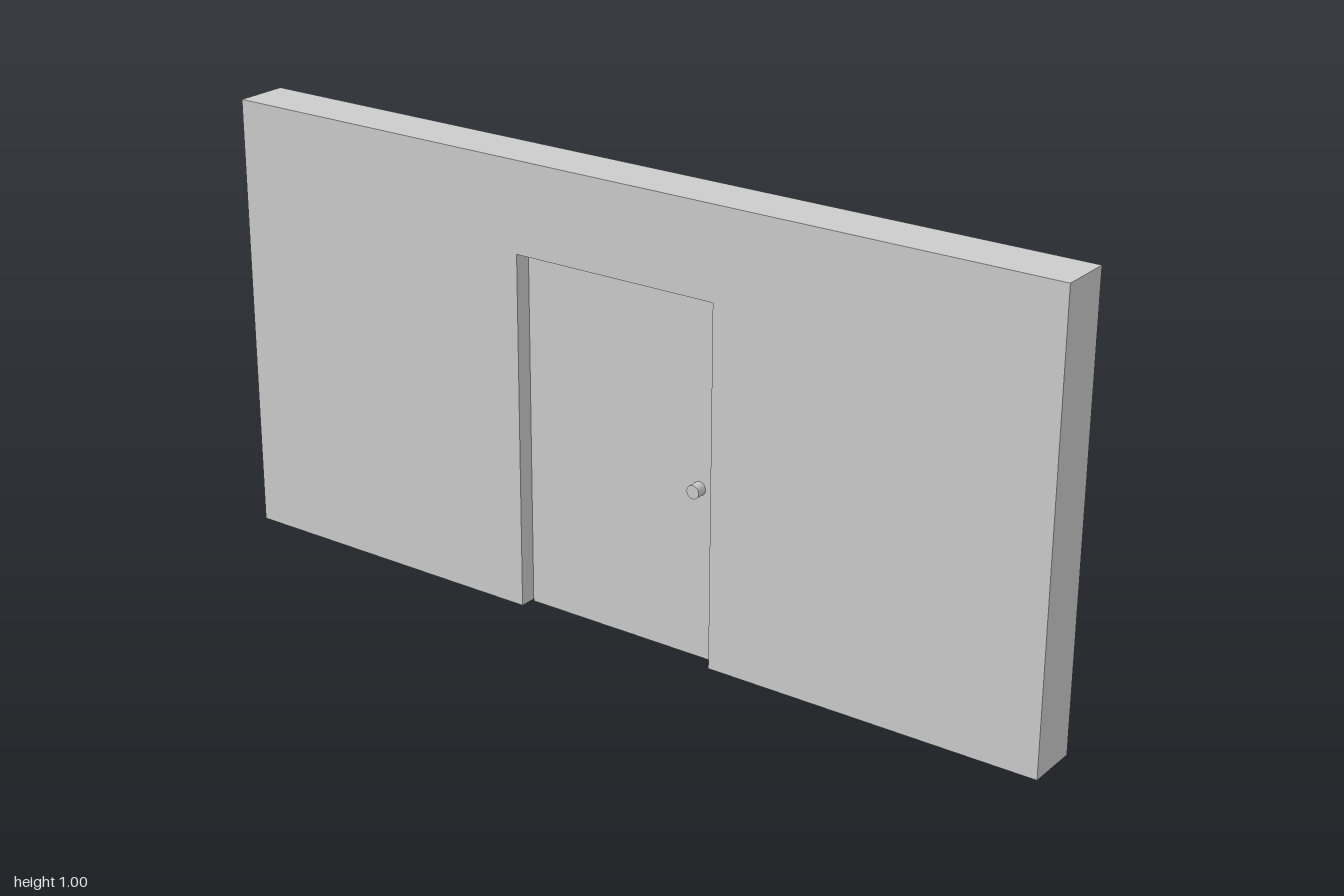
import * as THREE from 'three';

const HALF_DEPTH = 0.06, WALL_BASE = 0.004, DOOR_HALF = 0.243, DOOR_TOP = 0.8;

const grey = new THREE.MeshStandardMaterial({ color: 0xcccccc });
const greyThin = new THREE.MeshStandardMaterial({ color: 0xcccccc, side: THREE.DoubleSide });

function addMesh(parent, name, geometry, material = grey) {
  const mesh = new THREE.Mesh(geometry, material);
  mesh.name = name;
  parent.add(mesh);
  return mesh;
}

// Flat quad spanning the wall depth between two outline points, facing right of travel
function edgeStrip([x0, y0], [x1, y1]) {
  const d = HALF_DEPTH;
  const geometry = new THREE.BufferGeometry();
  geometry.setAttribute('position', new THREE.Float32BufferAttribute(
    [x0, y0, d, x0, y0, -d, x1, y1, -d, x1, y1, d], 3));
  geometry.setIndex([0, 1, 2, 0, 2, 3]);
  geometry.computeVertexNormals();
  return geometry;
}

export function createModel() {
  const model = new THREE.Group();
  model.name = 'wallWithDoor';

  // Hollow wall, open underneath, with a doorway notch (outline runs counter-clockwise)
  const outline = [
    [DOOR_HALF, WALL_BASE], [1, WALL_BASE], [1, 1], [-1, 1], [-1, WALL_BASE],
    [-DOOR_HALF, WALL_BASE], [-DOOR_HALF, DOOR_TOP], [DOOR_HALF, DOOR_TOP],
  ];
  const wall = new THREE.Group();
  wall.name = 'wall';
  model.add(wall);

  const face = new THREE.ShapeGeometry(
    new THREE.Shape(outline.map(([x, y]) => new THREE.Vector2(x, y))));
  addMesh(wall, 'wallFront', face, greyThin).position.z = HALF_DEPTH;
  const back = addMesh(wall, 'wallBack', face, greyThin);
  back.position.z = -HALF_DEPTH;
  back.rotation.y = Math.PI;

  // Ends, top, door jambs and lintel; the two bottom edges stay open
  const edgeNames = [null, 'wallEndLeft', 'wallTop', 'wallEndRight', null,
    'jambRight', 'lintel', 'jambLeft'];
  edgeNames.forEach((name, i) => {
    if (name) addMesh(wall, name, edgeStrip(outline[i], outline[(i + 1) % outline.length]), greyThin);
  });

  // Door slab, reaching the floor just below the wall
  const door = new THREE.Group();
  door.name = 'door';
  model.add(door);
  const slab = addMesh(door, 'doorPanel',
    new THREE.BoxGeometry(2 * DOOR_HALF - 0.001, DOOR_TOP - 0.0005, 0.044));
  slab.position.y = (DOOR_TOP - 0.0005) / 2;

  // Short round knob on each face
  const knobGeometry = new THREE.CylinderGeometry(0.015, 0.015, 0.024, 24).rotateX(Math.PI / 2);
  for (const side of [1, -1]) {
    const knob = addMesh(door, side > 0 ? 'frontKnob' : 'backKnob', knobGeometry);
    knob.position.set(0.19, 0.38, side * 0.034);
  }

  return model;
}
